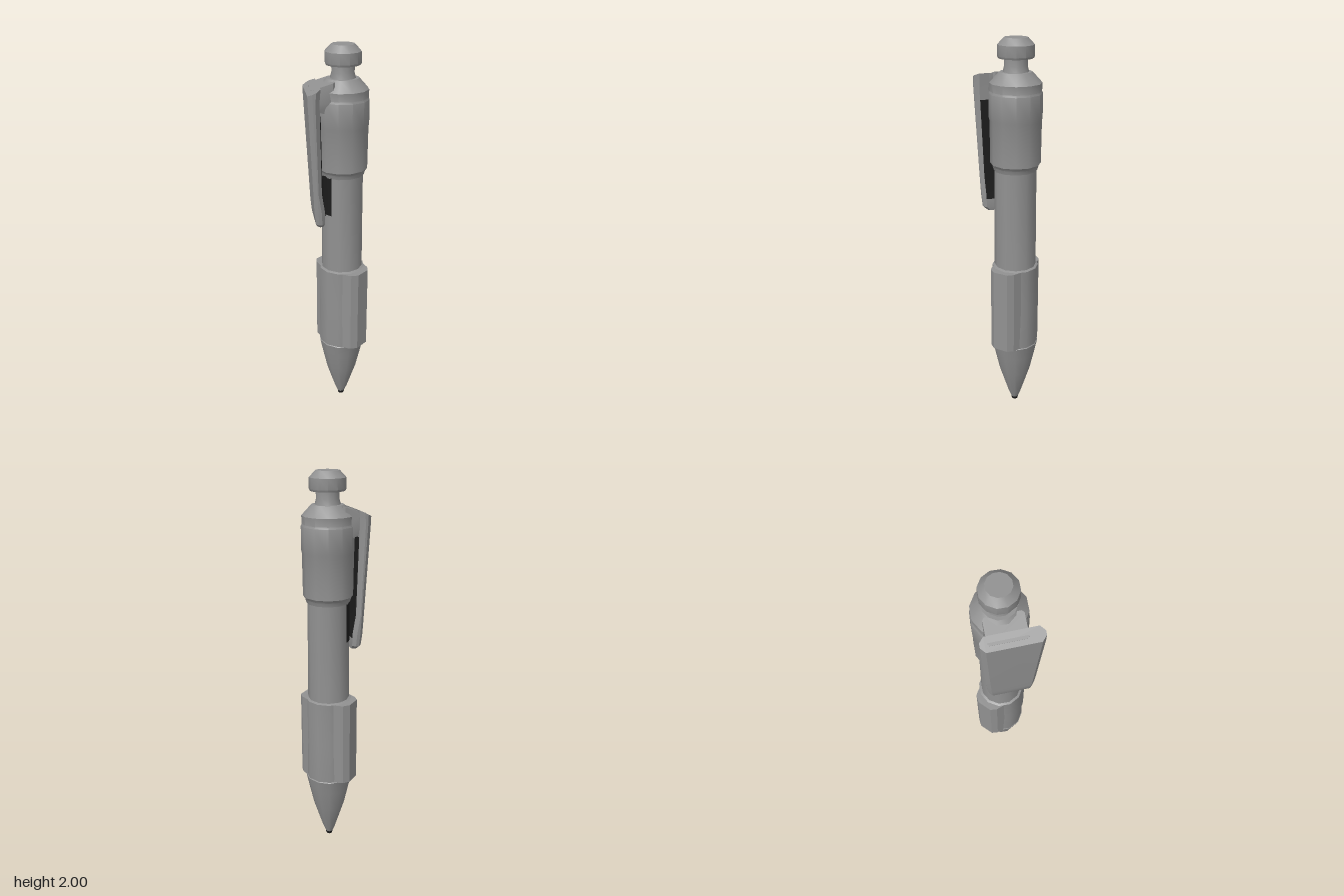
import * as THREE from 'three';
import { toCreasedNormals } from 'three/addons/utils/BufferGeometryUtils.js';

const CREASE = 0.6;

// Turned part from [radius, y] pairs, bottom to top
function turned(points, sides = 12) {
  const profile = points.map(([r, y]) => new THREE.Vector2(r, y));
  return toCreasedNormals(new THREE.LatheGeometry(profile, sides), CREASE);
}

// Loft of bevelled rectangles; section = [y, xMin, xMax, zMin, zMax, bevel, drop at zMax]
function loft(sections) {
  const pos = [], index = [], n = 8;
  for (const [y, x0, x1, z0, z1, b, drop = 0] of sections) {
    const ring = [
      [x0 + b, z1], [x1 - b, z1], [x1, z1 - b], [x1, z0 + b],
      [x1 - b, z0], [x0 + b, z0], [x0, z0 + b], [x0, z1 - b],
    ];
    for (const [x, z] of ring) pos.push(x, y - drop * (z - z0) / (z1 - z0), z);
  }
  const last = (sections.length - 1) * n;
  for (let s = 0; s < last; s += n) {
    for (let i = 0; i < n; i++) {
      const j = (i + 1) % n;
      index.push(s + i, s + j, s + n + j, s + i, s + n + j, s + n + i);
    }
  }
  for (let i = 1; i < n - 1; i++) {
    index.push(0, i + 1, i, last, last + i, last + i + 1);
  }
  const geo = new THREE.BufferGeometry();
  geo.setAttribute('position', new THREE.Float32BufferAttribute(pos, 3));
  geo.setIndex(index);
  return toCreasedNormals(geo, CREASE);
}

export function createModel() {
  const model = new THREE.Group();
  model.name = 'pen';
  const grey = new THREE.MeshStandardMaterial({ color: 0x919191 });
  grey.name = 'grey plastic';
  const dark = new THREE.MeshStandardMaterial({ color: 0x1c1c1c });
  dark.name = 'dark recess';

  const add = (parent, name, geo, material = grey) => {
    const mesh = new THREE.Mesh(geo, material);
    mesh.name = name;
    parent.add(mesh);
  };

  // Everything is placed around the pen's own axis
  const pen = new THREE.Group();
  pen.name = 'penBody';
  pen.position.set(0.025, 0, -0.054);
  model.add(pen);

  add(pen, 'writingPoint', turned([[0, 0], [0.016, 0], [0.02, 0.016]]), dark);
  add(pen, 'tip', turned([[0.02, 0.016], [0.034, 0.05], [0.083, 0.2], [0.108, 0.31], [0.124, 0.385], [0.11, 0.4], [0, 0.4]]));
  add(pen, 'grip', turned([[0, 0.38], [0.12, 0.38], [0.122, 0.41], [0.119, 0.6], [0.12, 0.84], [0.1, 0.85], [0, 0.85]]));
  add(pen, 'barrel', turned([[0.108, 0.82], [0.106, 1.1], [0.105, 1.4]]));
  add(pen, 'upperSleeve', turned([
    [0, 1.36], [0.11, 1.36], [0.115, 1.38], [0.126, 1.395], [0.128, 1.61], [0.131, 1.62],
    [0.131, 1.74], [0.126, 1.75], [0.128, 1.79], [0.08, 1.842], [0, 1.842],
  ]));
  add(pen, 'buttonNeck', turned([[0.066, 1.83], [0.056, 1.87], [0.058, 1.92]]));
  add(pen, 'button', turned([[0, 1.905], [0.085, 1.905], [0.09, 1.915], [0.089, 1.967], [0.058, 2], [0, 2]]));

  // Raised pads on both sides of the grip
  const padShape = new THREE.Shape([
    [0.06, -0.09], [0.105, -0.083], [0.125, -0.075], [0.149, -0.045],
    [0.149, 0.035], [0.125, 0.062], [0.06, 0.09],
  ].map(([x, y]) => new THREE.Vector2(x, y)));
  for (const side of [1, -1]) {
    const geo = new THREE.ExtrudeGeometry(padShape, { depth: 0.45, bevelEnabled: false });
    geo.rotateX(-Math.PI / 2);
    if (side < 0) geo.rotateY(Math.PI);
    geo.translate(0, 0.39, 0);
    add(pen, side > 0 ? 'leftGripPad' : 'rightGripPad', toCreasedNormals(geo, 0.4));
  }

  // Pocket clip, turned towards the front right
  const clip = new THREE.Group();
  clip.name = 'clip';
  clip.rotation.y = -0.745;
  pen.add(clip);
  add(clip, 'clipPlate', loft([
    [1.115, -0.06, 0.112, 0.108, 0.138, 0.01],
    [1.135, -0.085, 0.135, 0.104, 0.15, 0.015],
    [1.2, -0.094, 0.142, 0.104, 0.157, 0.018],
    [1.3, -0.098, 0.147, 0.12, 0.162, 0.018],
    [1.76, -0.117, 0.167, 0.13, 0.186, 0.022],
    [1.82, -0.117, 0.167, 0.125, 0.187, 0.022, 0.03],
  ]));
  add(clip, 'clipBridge', loft([
    [1.67, -0.08, 0.08, 0.05, 0.14, 0.01, -0.03],
    [1.74, -0.09, 0.1, 0.05, 0.15, 0.01],
    [1.838, -0.085, 0.095, 0.05, 0.165, 0.01, 0.035],
  ]));
  // Dark lining of the gap: inner face of the clip and the barrel below it
  add(clip, 'clipLining', loft([
    [1.18, -0.074, 0.122, 0.1, 0.108, 0.002],
    [1.3, -0.078, 0.128, 0.116, 0.124, 0.002],
    [1.69, -0.09, 0.142, 0.125, 0.133, 0.002],
  ]), dark);
  const lining = new THREE.CylinderGeometry(0.108, 0.108, 0.21, 10, 1, true, -0.9, 1.8);
  add(clip, 'barrelLining', lining.translate(0, 1.265, 0), dark);
  return model;
}
